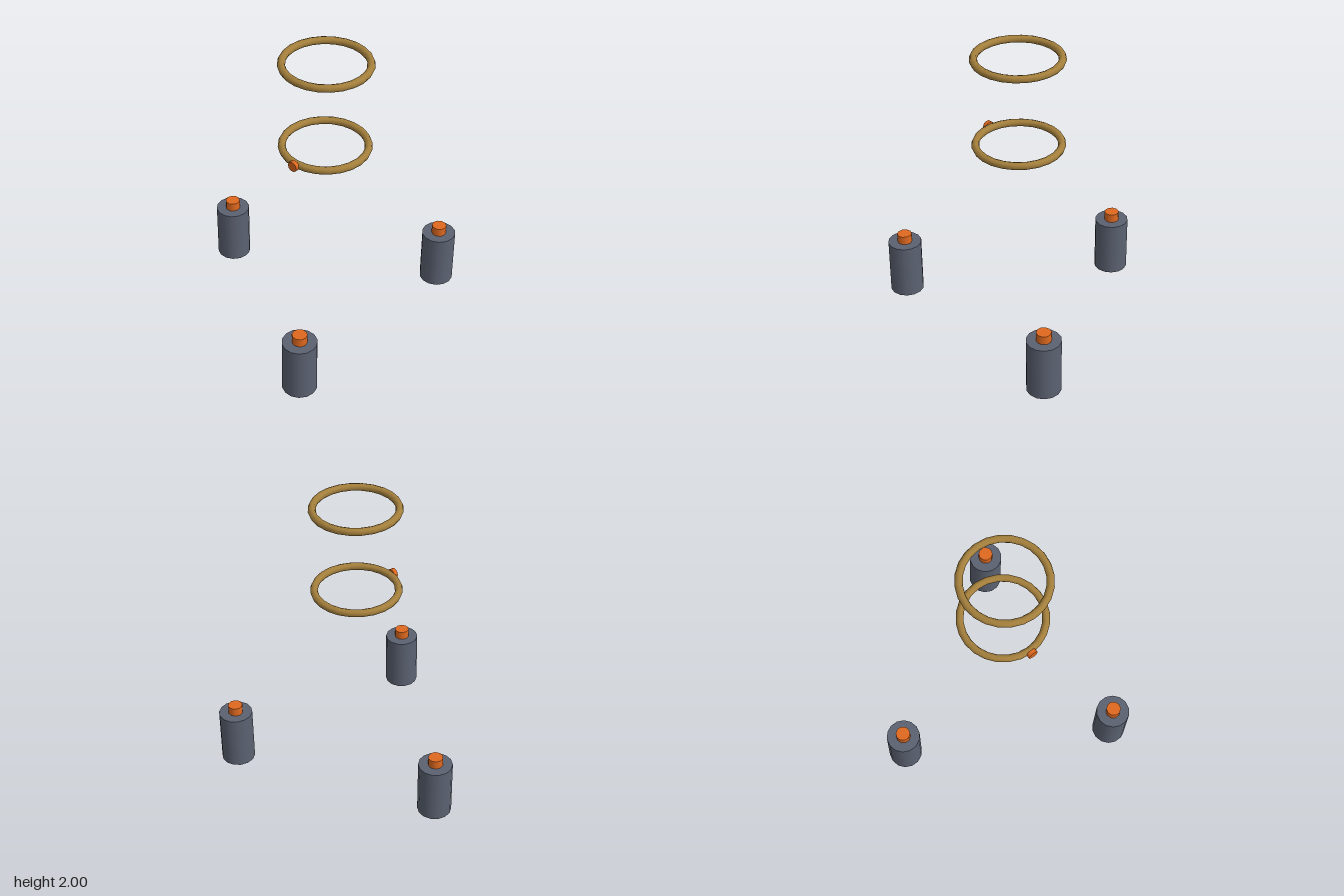
import * as THREE from 'three';

const slate = new THREE.MeshStandardMaterial({ color: 0x5c6272 });
const orange = new THREE.MeshStandardMaterial({ color: 0xe0691f });
const brass = new THREE.MeshStandardMaterial({ color: 0xa5803c });

function addMesh(parent, name, geometry, material, x, y, z) {
  const mesh = new THREE.Mesh(geometry, material);
  mesh.name = name;
  mesh.position.set(x, y, z);
  parent.add(mesh);
  return mesh;
}

export function createModel() {
  const model = new THREE.Group();
  model.name = 'ringsAndPosts';
  const centerZ = 0.216;

  // Three capped posts at the corners of an equilateral triangle
  const bodyHeight = 0.393, capHeight = 0.062, spread = 0.864;
  const bodyGeometry = new THREE.CylinderGeometry(0.117, 0.117, bodyHeight, 14);
  const capGeometry = new THREE.CylinderGeometry(0.051, 0.051, capHeight, 10);
  for (let i = 0; i < 3; i++) {
    const angle = Math.PI + (i * Math.PI * 2) / 3;
    const post = new THREE.Group();
    post.name = 'post';
    post.position.set(Math.sin(angle) * spread, 0, centerZ + Math.cos(angle) * spread);
    addMesh(post, 'postBody', bodyGeometry, slate, 0, bodyHeight / 2, 0);
    addMesh(post, 'postCap', capGeometry, orange, 0, bodyHeight + capHeight / 2, 0);
    model.add(post);
  }

  // Two floating horizontal rings
  const ringGeometry = new THREE.TorusGeometry(0.285, 0.026, 8, 24).rotateX(Math.PI / 2);
  addMesh(model, 'upperRing', ringGeometry, brass, 0, 1.974, centerZ);
  addMesh(model, 'lowerRing', ringGeometry, brass, 0, 1.35, centerZ);

  // Small round knob on the right side of the lower ring
  const knobGeometry = new THREE.CylinderGeometry(0.036, 0.036, 0.028, 10).rotateZ(Math.PI / 2);
  addMesh(model, 'ringKnob', knobGeometry, orange, -0.313, 1.35, centerZ);

  return model;
}
